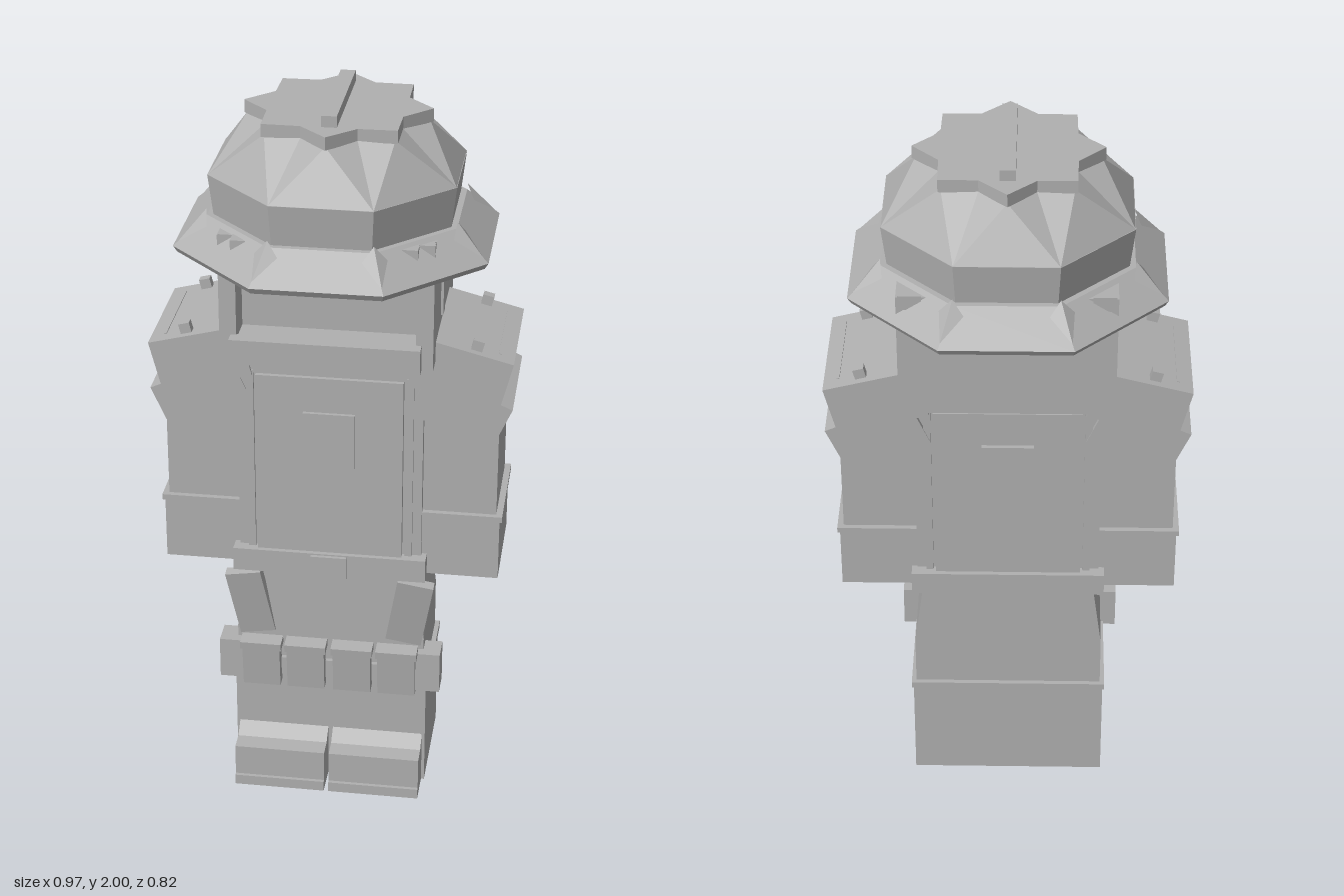
import * as THREE from 'three';

const grey = new THREE.MeshStandardMaterial({ color: 0xb0b0b0 });
grey.name = 'stone grey';

export function createModel() {
  const model = new THREE.Group();
  model.name = 'armouredFigure';

  const add = (name, geo) => {
    const m = new THREE.Mesh(geo, grey);
    m.name = name;
    model.add(m);
    return m;
  };
  // box from its limits on each axis
  const box = (name, x0, x1, y0, y1, z0, z1) => {
    const m = add(name, new THREE.BoxGeometry(x1 - x0, y1 - y0, z1 - z0));
    m.position.set((x0 + x1) / 2, (y0 + y1) / 2, (z0 + z1) / 2);
    return m;
  };
  // the same box on both sides, x limits given for the left
  const pair = (name, x0, x1, ...yz) => {
    box(name + 'Left', x0, x1, ...yz);
    box(name + 'Right', -x1, -x0, ...yz);
  };
  const tilted = (name, size, pos, rx, rz) => {
    const m = add(name, new THREE.BoxGeometry(...size));
    m.position.set(...pos);
    m.rotation.set(rx, 0, rz);
    return m;
  };
  const flat = (geo) => {
    const g = geo.index ? geo.toNonIndexed() : geo;
    g.computeVertexNormals();
    return g;
  };
  // octagonal turned body; profile holds [apothem, y] from bottom to top
  const octagon = (name, profile) => {
    const pts = profile.map(([r, y]) => new THREE.Vector2(r / Math.cos(Math.PI / 8), y));
    return add(name, flat(new THREE.LatheGeometry(pts, 8, Math.PI / 8)));
  };
  const triangles = (name, points) => add(name, flat(new THREE.BufferGeometry().setFromPoints(points)));
  const polar = (r, y, deg) => {
    const a = deg * Math.PI / 180;
    return new THREE.Vector3(r * Math.cos(a), y, r * Math.sin(a));
  };
  // upright prism from an x-z outline
  const plate = (name, outline, y0, y1) => {
    const shape = new THREE.Shape(outline.map(([x, z]) => new THREE.Vector2(x, -z)));
    const g = new THREE.ExtrudeGeometry(shape, { depth: y1 - y0, bevelEnabled: false });
    g.rotateX(-Math.PI / 2).translate(0, y0, 0);
    return add(name, g);
  };

  // Lower legs and boots
  box('legBlock', -0.27, 0.27, 0, 0.31, -0.158, 0.163);
  box('legRim', -0.275, 0.275, 0.31, 0.33, -0.168, 0.163);
  const toe = new THREE.Shape([[0.15, 0], [0.26, 0], [0.26, 0.03], [0.25, 0.03], [0.25, 0.122],
    [0.2, 0.125], [0.163, 0.155], [0.15, 0.155]].map(([z, y]) => new THREE.Vector2(z, y)));
  for (const s of [-1, 1]) {
    const g = new THREE.ExtrudeGeometry(toe, { depth: 0.255, bevelEnabled: false });
    g.rotateY(-Math.PI / 2).translate(0.1275 + s * 0.134, 0, 0);
    add(s > 0 ? 'toeCapLeft' : 'toeCapRight', g);
  }

  // Hips, slightly narrower at the top
  const hips = new THREE.Shape();
  hips.setFromPoints([[-0.262, 0.33], [0.262, 0.33], [0.262, 0.475], [0.235, 0.68], [-0.235, 0.68], [-0.262, 0.475]]
    .map(([x, y]) => new THREE.Vector2(x, y)));
  add('hips', new THREE.ExtrudeGeometry(hips, { depth: 0.318, bevelEnabled: false }).translate(0, 0, -0.155));
  box('backSkirt', -0.2, 0.2, 0.39, 0.68, -0.182, -0.15);
  for (const s of [-1, 1]) {
    tilted('hipFlap' + (s > 0 ? 'Left' : 'Right'), [0.1, 0.21, 0.03], [s * 0.222, 0.565, 0.168], 0.16, s * -0.17);
  }

  // Pouch belt
  box('pouchBelt', -0.26, 0.26, 0.33, 0.385, 0.15, 0.175);
  for (const x of [-0.19, -0.065, 0.065, 0.19]) {
    tilted('pouch', [0.105, 0.14, 0.035], [x, 0.378, 0.188], 0.1, 0);
    tilted('pouchLid', [0.115, 0.022, 0.045], [x, 0.444, 0.195], 0.1, 0);
  }
  pair('sidePouch', 0.24, 0.31, 0.32, 0.44, 0.115, 0.19);

  // Torso with front and back plates
  box('torso', -0.25, 0.25, 0.67, 1.28, -0.155, 0.163);
  box('chestPlate', -0.198, 0.198, 0.735, 1.27, 0.15, 0.182);
  box('backPlate', -0.198, 0.198, 0.735, 1.27, -0.175, -0.15);
  pair('sideStrap', 0.205, 0.225, 0.735, 1.28, -0.165, 0.172);
  box('collar', -0.22, 0.22, 1.27, 1.36, -0.165, 0.17);
  box('belt', -0.265, 0.265, 0.675, 0.742, -0.188, 0.195);
  box('buckle', -0.05, 0.05, 0.67, 0.738, 0.19, 0.205);

  // Shield badges on chest and back
  const badge = new THREE.Shape([[-0.07, 1.17], [-0.07, 1.01], [0, 0.955], [0.07, 1.01], [0.07, 1.17]]
    .map(([x, y]) => new THREE.Vector2(x, y)));
  const badgeGeo = new THREE.ExtrudeGeometry(badge, { depth: 0.015, bevelEnabled: false });
  add('chestBadge', badgeGeo).position.z = 0.177;
  add('backBadge', badgeGeo).position.z = -0.187;

  // Arms
  pair('upperArm', 0.25, 0.45, 0.86, 1.24, -0.14, 0.14);
  pair('forearm', 0.235, 0.46, 0.68, 0.86, -0.15, 0.15);
  pair('cuff', 0.235, 0.467, 0.857, 0.873, -0.155, 0.155);

  // Shoulder pads, leaning down outwards
  for (const s of [-1, 1]) {
    const side = s > 0 ? 'Left' : 'Right';
    const pad = tilted('shoulderPad' + side, [0.25, 0.143, 0.355], [s * 0.346, 1.304, 0], 0, s * -0.25);
    tilted('lowerPad' + side, [0.242, 0.137, 0.335], [s * 0.347, 1.192, 0], 0, s * -0.42);
    const detail = (name, w, h, d, x, z) => {
      const m = new THREE.Mesh(new THREE.BoxGeometry(w, h, d), grey);
      m.name = name;
      m.position.set(s * x, 0.0715 + h / 2 - 0.002, z);
      pad.add(m);
    };
    detail('padTrim', 0.008, 0.004, 0.275, 0.085, 0);
    for (const z of [-0.145, 0.145]) detail('padLug', 0.03, 0.03, 0.025, 0.022, z);
  }

  // Head with open face and chin guard
  box('head', -0.28, 0.28, 1.34, 1.69, -0.272, 0.15);
  pair('cheek', 0.235, 0.28, 1.34, 1.69, 0.15, 0.24);
  box('chin', -0.235, 0.235, 1.34, 1.4, 0.15, 0.24);
  box('chinGuard', -0.25, 0.25, 1.342, 1.412, 0.235, 0.275);
  pair('earStrap', 0.275, 0.287, 1.42, 1.69, 0.02, 0.06);

  // Helmet brim and wall
  octagon('helmetBrim', [[0, 1.685], [0.33, 1.685], [0.4, 1.605], [0.41, 1.622], [0.325, 1.7], [0, 1.7]]);
  octagon('helmetWall', [[0.308, 1.69], [0.322, 1.81], [0, 1.81]]);

  // Faceted dome rising from octagon corners to a star
  const dome = [];
  const spikes = [];
  for (let i = 0; i < 8; i++) {
    const a = i * 45;
    const mid = a + 22.5;
    const c = polar(0.347, 1.81, mid);
    const notch = polar(0.182, 1.945, mid);
    const low = polar(0.236, 1.94, a);
    const high = polar(0.236, 1.94, a + 45);
    dome.push(c, polar(0.347, 1.81, a - 22.5), low, c, low, notch, c, notch, high);
    // small corner spike on the brim
    const tip = polar(0.435, 1.628, mid);
    const peak = polar(0.352, 1.718, mid);
    spikes.push(tip, polar(0.362, 1.68, mid - 5.5), peak, tip, peak, polar(0.362, 1.68, mid + 5.5));
  }
  triangles('helmetDome', dome);
  triangles('brimSpikes', spikes);

  // Star cap and crest bar
  const star = [];
  for (let i = 0; i < 16; i++) {
    const p = polar(i % 2 ? 0.19 : 0.246, 0, i * 22.5);
    star.push([p.x, p.z]);
  }
  plate('starCap', star, 1.935, 1.97);
  box('crest', -0.02, 0.02, 1.965, 2, -0.178, 0.175);

  // Little triangular studs on the diagonal brim faces
  for (const s of [-1, 1]) {
    plate('backStud', [[s * 0.275, -0.275], [s * 0.215, -0.275], [s * 0.275, -0.215]], 1.655, 1.695);
    plate('frontStud', [[s * 0.24, 0.275], [s * 0.2, 0.275], [s * 0.24, 0.225]], 1.655, 1.692);
    plate('frontStud', [[s * 0.278, 0.24], [s * 0.24, 0.24], [s * 0.278, 0.21]], 1.655, 1.692);
  }
  return model;
}
